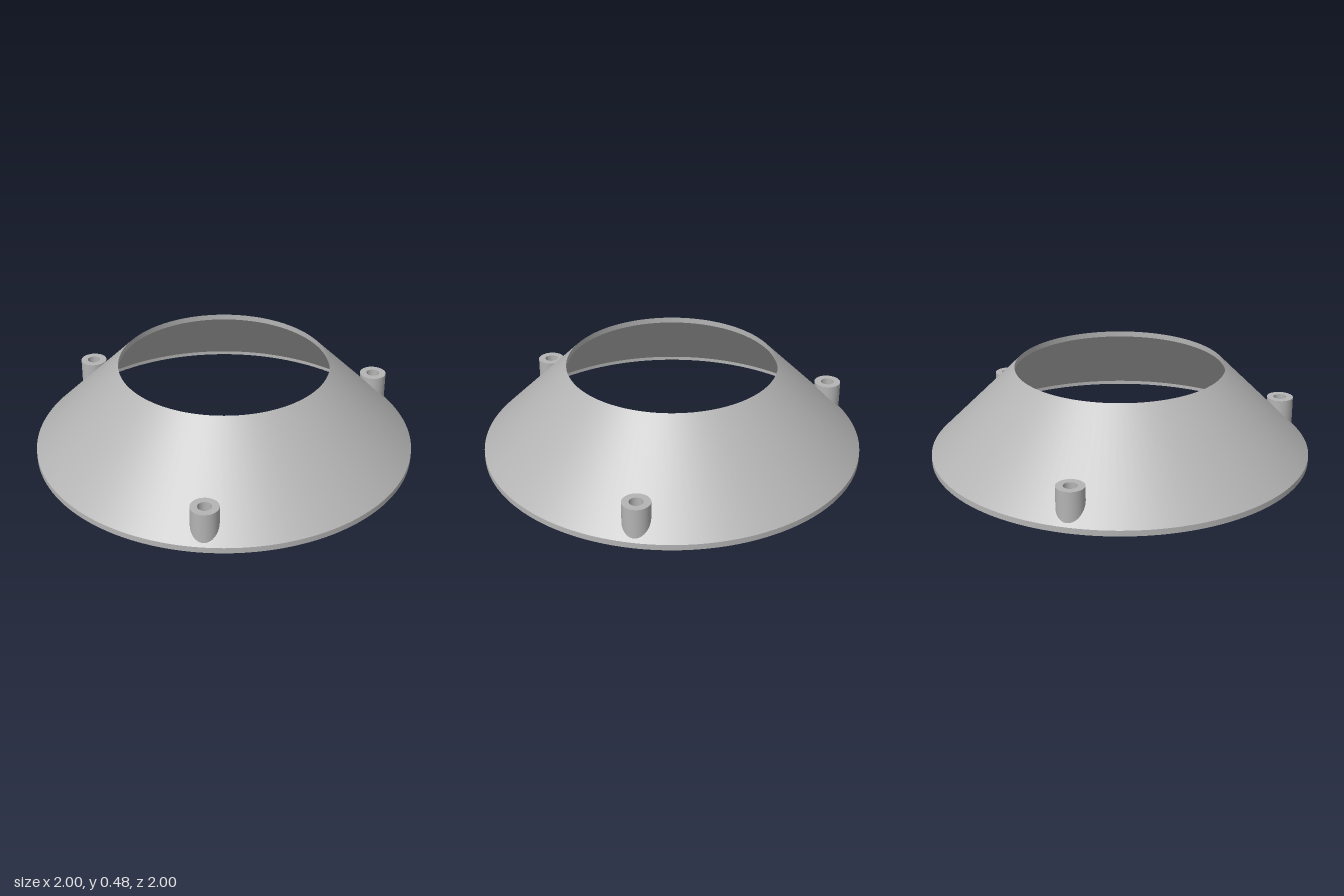
import * as THREE from 'three';
import { mergeGeometries } from 'three/addons/utils/BufferGeometryUtils.js';

// Revolve each profile edge on its own so the rims stay crisp and the cone smooth
function revolve(edges, segments, phiStart = 0, phiLength = Math.PI * 2) {
  return mergeGeometries(edges.map((edge) => new THREE.LatheGeometry(
    edge.map(([r, y]) => new THREE.Vector2(r, y)), segments, phiStart, phiLength)));
}

const closedEdges = (points) => points.map((p, i) => [p, points[(i + 1) % points.length]]);

export function createModel() {
  const group = new THREE.Group();
  const grey = new THREE.MeshStandardMaterial({ color: 0xb4b4b4 });
  grey.name = 'grey';

  const add = (name, geometry) => {
    const mesh = new THREE.Mesh(geometry, grey);
    mesh.name = name;
    group.add(mesh);
    return mesh;
  };

  const bossAngles = [45, 165, 285].map(THREE.MathUtils.degToRad);
  const bossRing = 0.914;   // distance of the bosses from the axis
  const notch = 0.045;      // half size of the shell opening inside a boss
  const halfGap = notch / bossRing;

  // Conical wall with a short vertical lip at both rims
  const outerCone = [[1, 0.03], [0.55, 0.48]];
  const innerCone = [[0.55, 0.45], [0.98, 0.02]];
  const profile = [[0.98, 0], [1, 0], ...outerCone, ...innerCone];

  // The same wall, left open where a screw hole passes through
  const rIn = bossRing - notch, rOut = bossRing + notch;
  const openEdges = [
    [[0.98, 0], [1, 0]], [[1, 0], [1, 0.03]],
    [[1, 0.03], [rOut, 1.03 - rOut]], [[rIn, 1.03 - rIn], [0.55, 0.48]],
    [[0.55, 0.48], [0.55, 0.45]],
    [[0.55, 0.45], [rIn, 1 - rIn]], [[rOut, 1 - rOut], [0.98, 0.02]],
    [[0.98, 0.02], [0.98, 0]],
  ];

  const sectors = bossAngles.flatMap((angle) => [
    revolve(openEdges, 4, angle - halfGap, 2 * halfGap),
    revolve(closedEdges(profile), 40, angle + halfGap, Math.PI * 2 / 3 - 2 * halfGap),
  ]);
  add('conicalShell', mergeGeometries(sectors));

  // Three hollow screw bosses crossing the wall
  const bossProfile = [[0.035, 0], [0.071, 0], [0.071, 0.204], [0.035, 0.204]];
  const bossGeometry = revolve(closedEdges(bossProfile), 40);
  bossAngles.forEach((angle, i) => {
    add(`screwBoss${i + 1}`, bossGeometry)
      .position.set(bossRing * Math.sin(angle), 0, bossRing * Math.cos(angle));
  });

  return group;
}
